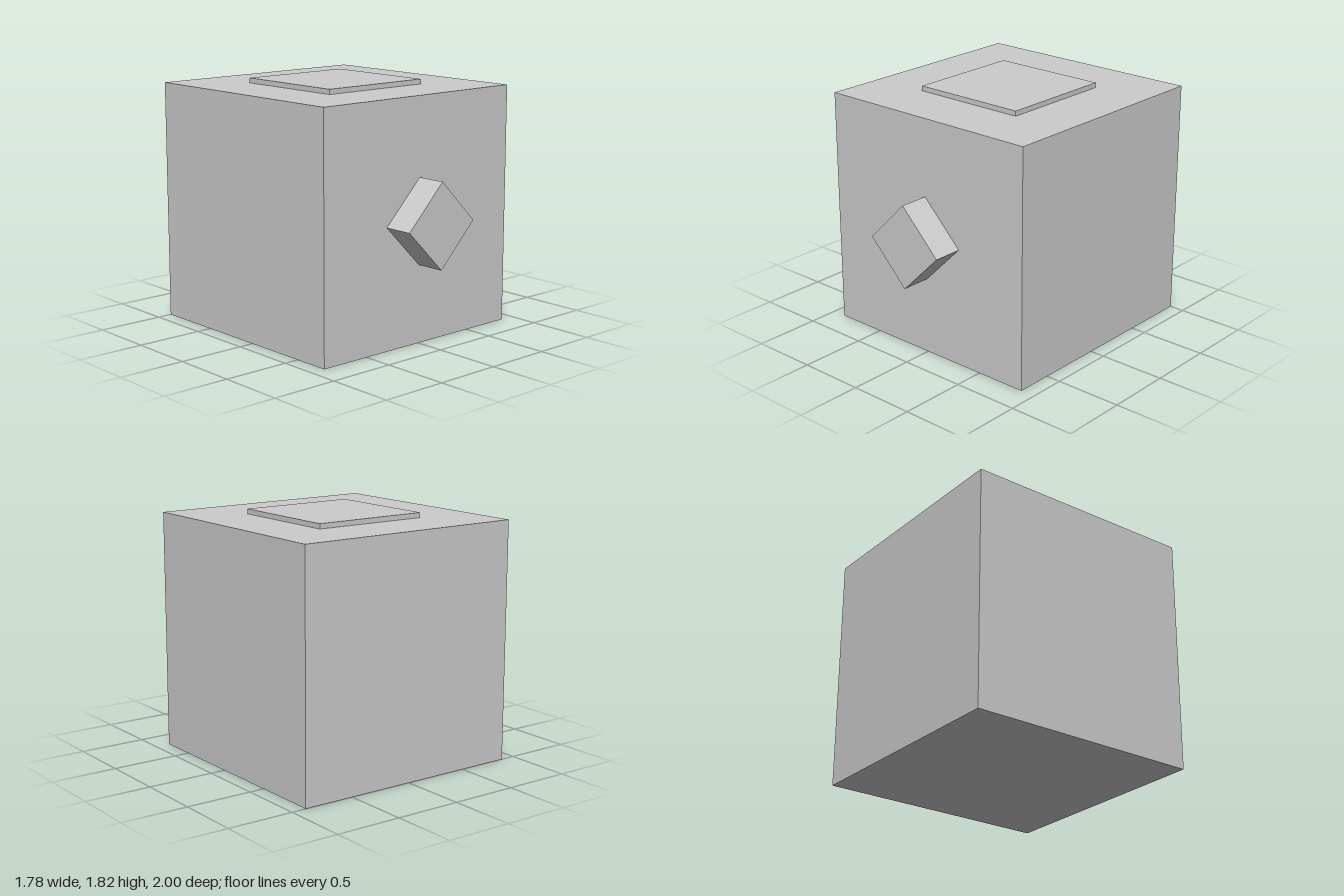
import * as THREE from 'three';

const SIDE = 1.778;      // edge of the main cube
const BODY_Z = -0.111;   // cube centre, set back to leave room for the knob
const EMBED = 0.01;      // how far attached parts sink into the cube

export function createModel() {
  const model = new THREE.Group();
  const material = new THREE.MeshStandardMaterial({ color: 0xcccccc, flatShading: true });

  const addBox = (name, size, position) => {
    const mesh = new THREE.Mesh(new THREE.BoxGeometry(...size), material);
    mesh.name = name;
    mesh.position.set(...position);
    model.add(mesh);
    return mesh;
  };

  // Main cube
  addBox('body', [SIDE, SIDE, SIDE], [0, SIDE / 2, BODY_Z]);

  // Thin square plate on top
  const plateHeight = 0.037 + EMBED;
  addBox('topPlate', [SIDE / 2, plateHeight, SIDE / 2], [0, SIDE - EMBED + plateHeight / 2, BODY_Z]);

  // Square knob on the front, turned to a diamond
  const knobDepth = 0.222 + EMBED;
  const knob = addBox('frontKnob', [SIDE / 4, SIDE / 4, knobDepth], [0, SIDE / 2, 1 - knobDepth / 2]);
  knob.rotation.z = Math.PI / 4;

  return model;
}
